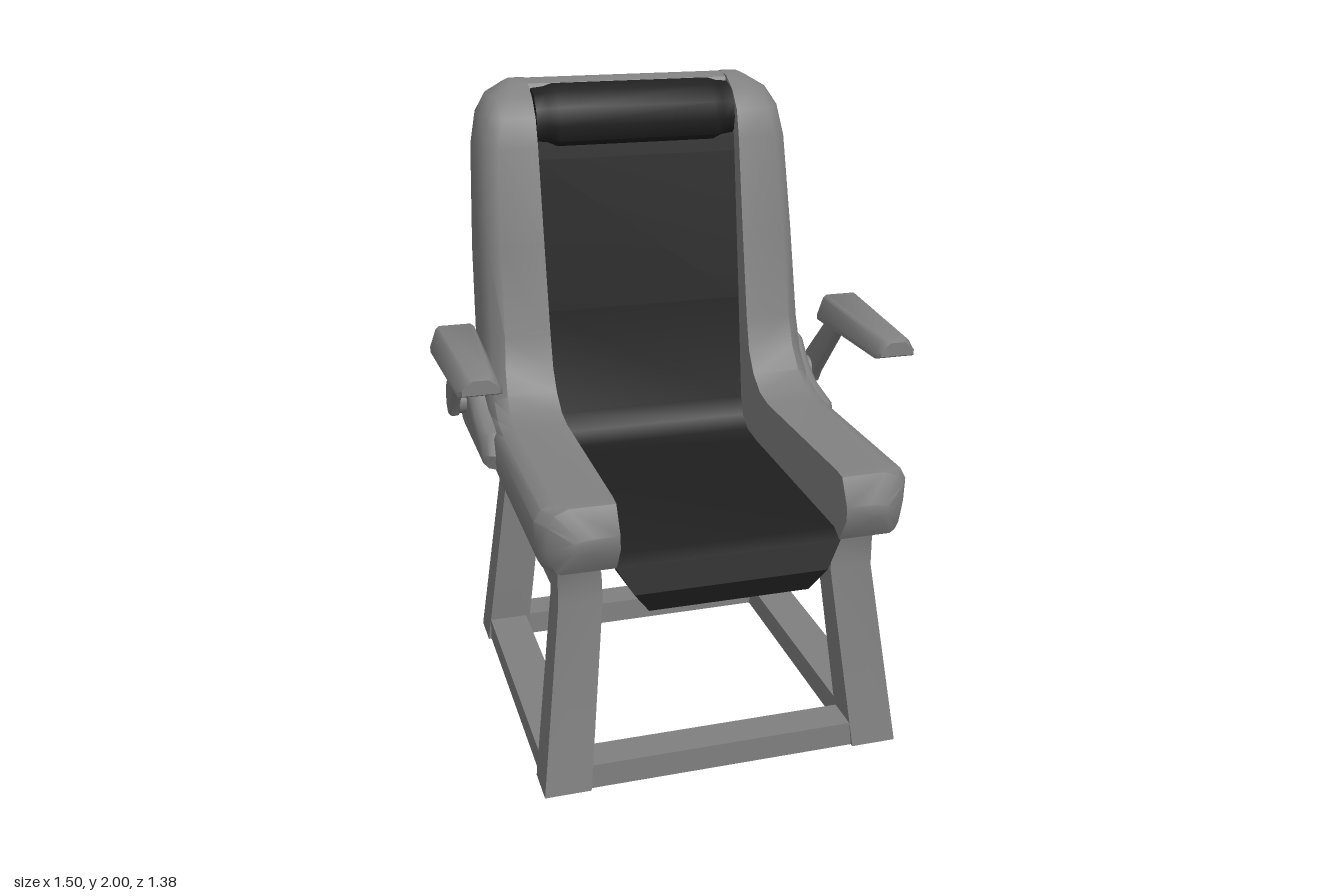
import * as THREE from 'three';
import { toCreasedNormals } from 'three/addons/utils/BufferGeometryUtils.js';

const grey = new THREE.MeshStandardMaterial({ color: 0x808080 });
const dark = new THREE.MeshStandardMaterial({ color: 0x1e1e1e });

// Solid skin through equal-length rings of [x, y, z], capped at both ends
function loft(rings, crease = 0.6) {
  const n = rings[0].length, index = [];
  for (let r = 0; r < rings.length - 1; r++)
    for (let i = 0; i < n; i++) {
      const a = r * n + i, b = r * n + (i + 1) % n;
      index.push(a, b, b + n, a, b + n, a + n);
    }
  const last = (rings.length - 1) * n;
  for (let i = 1; i < n - 1; i++) {
    index.push(0, i + 1, i);
    index.push(last, last + i, last + i + 1);
  }
  // Turn the faces outward if the enclosed volume is negative
  const p = rings.flat().map((v) => new THREE.Vector3(...v));
  let volume = 0;
  for (let i = 0; i < index.length; i += 3)
    volume += p[index[i]].dot(p[index[i + 1]].clone().cross(p[index[i + 2]]));
  if (volume < 0) index.reverse();
  const g = new THREE.BufferGeometry();
  g.setAttribute('position', new THREE.Float32BufferAttribute(rings.flat(2), 3));
  g.setIndex(index);
  return toCreasedNormals(g, crease);
}

// Side outline of [z, y] points, extruded from x0 to x1
function extrudeX(points, x0, x1, bevel = 0) {
  const shape = new THREE.Shape(points.map(([z, y]) => new THREE.Vector2(-z, y)));
  const g = new THREE.ExtrudeGeometry(shape, {
    depth: x1 - x0 - 2 * bevel, bevelEnabled: bevel > 0, bevelSize: bevel,
    bevelThickness: bevel, bevelOffset: -bevel, bevelSegments: 3,
  });
  g.rotateY(Math.PI / 2).translate(x0 + bevel, 0, 0);
  return toCreasedNormals(g, 0.7);
}

export function createModel() {
  const model = new THREE.Group();
  const add = (name, geometry, material = grey) => {
    const mesh = new THREE.Mesh(geometry, material);
    mesh.name = name;
    model.add(mesh);
    return mesh;
  };
  const box = (name, w, h, d, x, y, z) =>
    add(name, new THREE.BoxGeometry(w, h, d)).position.set(x, y, z);

  // Bolster stations: inner z, y; outer z, y; outside x; depth of the rear corner
  const stations = [
    [0.69, 0.875, 0.69, 0.83, 0.48, 0.03],
    [0.645, 0.955, 0.64, 0.75, 0.545, 0.035],
    [0.60, 0.96, 0.58, 0.745, 0.575, 0.04],
    [0.0, 0.96, 0.0, 0.745, 0.575, 0.04],
    [-0.08, 0.975, -0.3, 0.745, 0.575, 0.05],
    [-0.15, 1.02, -0.5, 0.75, 0.57, 0.07],
    [-0.2, 1.09, -0.58, 0.81, 0.565, 0.11],
    [-0.23, 1.2, -0.63, 1.0, 0.558, 0.14],
    [-0.29, 1.5, -0.675, 1.4, 0.55, 0.15],
    [-0.345, 1.8, -0.69, 1.78, 0.535, 0.15],
    [-0.37, 1.89, -0.68, 1.9, 0.515, 0.14],
    [-0.42, 1.95, -0.65, 1.96, 0.48, 0.11],
    [-0.49, 1.99, -0.605, 1.99, 0.42, 0.06],
    [-0.54, 2.0, -0.56, 2.0, 0.40, 0.04],
  ];
  const bolsterRings = (s) => stations.map(([fz, fy, bz, by, xo, d]) => {
    const at = (x, t) => [s * x, fy + (by - fy) * t, fz + (bz - fz) * t];
    return [at(0.345, 0), at(xo - 0.06, 0), at(xo - 0.02, 0.08), at(xo, 0.25),
      at(xo, 0.6), at(xo - d * 0.22, 0.83), at(xo - d * 0.55, 0.95), at(xo - d, 1), at(0.345, 1)];
  });

  // Middle of the back shell, between the bolsters
  add('backShell', extrudeX([
    [-0.48, 1.95], [-0.5, 1.985], [-0.54, 1.998], [-0.56, 1.998], [-0.605, 1.99], [-0.65, 1.96],
    [-0.68, 1.9], [-0.69, 1.78], [-0.675, 1.4], [-0.63, 1.0], [-0.58, 0.81], [-0.53, 0.74],
    [-0.3, 0.74], [-0.36, 0.88], [-0.45, 1.8],
  ], -0.345, 0.345));

  // Tapered pan under the seat
  const rect = (y, x, z0, z1) => [[-x, y, z0], [x, y, z0], [x, y, z1], [-x, y, z1]];
  add('seatPan', loft([
    rect(0.6, 0.25, -0.47, 0.637), rect(0.67, 0.3, -0.505, 0.663), rect(0.75, 0.348, -0.54, 0.637),
  ]));

  // Dark cushion: surface z, y; underside z, y; half width
  add('cushion', loft([
    [-0.42, 1.92, -0.5, 1.92, 0.345], [-0.39, 1.75, -0.47, 1.75, 0.345],
    [-0.32, 1.25, -0.41, 1.25, 0.345], [-0.275, 0.9, -0.38, 0.86, 0.345],
    [-0.25, 0.835, -0.36, 0.75, 0.345], [-0.2, 0.8, -0.25, 0.747, 0.345],
    [-0.1, 0.79, -0.1, 0.747, 0.345], [0.6, 0.775, 0.6, 0.747, 0.345],
    [0.646, 0.75, 0.63, 0.742, 0.348], [0.67, 0.67, 0.66, 0.67, 0.3], [0.645, 0.6, 0.633, 0.602, 0.25],
  ].map(([z, y, uz, uy, x]) => [[-x, y, z], [x, y, z], [x, uy, uz], [-x, uy, uz]])), dark);

  // Headrest roll, drawn in towards its ends
  const roll = [
    [-0.4, 1.79], [-0.37, 1.81], [-0.358, 1.86], [-0.37, 1.92], [-0.41, 1.97],
    [-0.47, 1.988], [-0.5, 1.97], [-0.5, 1.8],
  ];
  add('headrest', loft([[-0.34, 0.86], [-0.3, 0.9], [-0.27, 1], [0.27, 1], [0.3, 0.9], [0.34, 0.86]]
    .map(([x, k]) => roll.map(([z, y]) => [x, 1.89 + (y - 1.89) * k, -0.48 + (z + 0.48) * k])), 0.8), dark);

  for (const s of [1, -1]) {
    const side = s > 0 ? 'left' : 'right';
    const span = (points, a, b, bevel) =>
      extrudeX(points, Math.min(s * a, s * b), Math.max(s * a, s * b), bevel);

    add(side + 'Bolster', loft(bolsterRings(s), 0.7));

    // Armrest mount on the outside of the bolster
    add(side + 'ArmMount', span([
      [-0.04, 0.86], [-0.06, 0.805], [-0.5, 0.8], [-0.55, 0.86], [-0.57, 0.98], [-0.56, 1.08],
      [-0.5, 1.1], [-0.37, 1.08], [-0.29, 1.0], [-0.22, 0.96], [-0.07, 0.93],
    ], 0.46, 0.618, 0.045));

    // Pivot and bent strut
    const pivot = new THREE.CylinderGeometry(0.045, 0.045, 0.08, 16);
    pivot.rotateZ(Math.PI / 2).translate(s * 0.63, 0.94, -0.39);
    add(side + 'ArmPivot', pivot);
    add(side + 'ArmStrut', span([
      [0.07, 1.2], [0.05, 1.165], [0.02, 1.155], [-0.14, 1.15], [-0.335, 0.935], [-0.36, 0.895],
      [-0.41, 0.885], [-0.44, 0.91], [-0.445, 0.95], [-0.42, 1.0], [-0.215, 1.19], [-0.18, 1.21],
    ], 0.642, 0.677, 0.01));

    // Arm pad, tapering to the front
    add(side + 'ArmPad', loft([
      [-0.195, 0.6, 0.735, 1.2, 1.258], [-0.18, 0.585, 0.75, 1.188, 1.273],
      [0.285, 0.598, 0.73, 1.188, 1.252], [0.307, 0.608, 0.72, 1.198, 1.242],
    ].map(([z, x0, x1, y0, y1]) => [
      [x0, y0, z], [x1, y0, z], [x1, y0 + 0.018, z], [x1 - 0.02, y1 - 0.01, z],
      [x1 - 0.032, y1, z], [x0 + 0.032, y1, z], [x0 + 0.02, y1 - 0.01, z], [x0, y0 + 0.018, z],
    ].map(([x, y, zz]) => [s * x, y, zz])), 1));

    // Legs: y; inner and outer x; inner and outer z
    const leg = (name, sections, f) => add(name, loft(sections.map(([y, x0, x1, z0, z1]) => [
      [s * x0, y, f * z0], [s * x1, y, f * z0], [s * x1, y, f * z1], [s * x0, y, f * z1],
    ]), 0.3));
    leg(side + 'FrontLeg', [
      [0, 0.43, 0.575, 0.495, 0.625], [0.6, 0.365, 0.5, 0.43, 0.54],
      [0.69, 0.367, 0.5, 0.43, 0.54], [0.76, 0.4, 0.5, 0.43, 0.56],
    ], 1);
    leg(side + 'RearLeg', [
      [0, 0.43, 0.575, 0.395, 0.525], [0.6, 0.365, 0.5, 0.35, 0.46],
      [0.69, 0.367, 0.5, 0.35, 0.46], [0.76, 0.4, 0.5, 0.36, 0.475],
    ], -1);

    // Side rails, floor and upper
    box(side + 'FloorRail', 0.13, 0.08, 1.0, s * 0.5, 0.04, 0.05);
    box(side + 'UpperRail', 0.115, 0.09, 0.85, s * 0.435, 0.645, 0.04);
  }

  // Cross rails on the floor
  box('frontFloorRail', 1.0, 0.08, 0.115, 0, 0.04, 0.555);
  box('rearFloorRail', 1.0, 0.08, 0.115, 0, 0.04, -0.455);

  return model;
}
